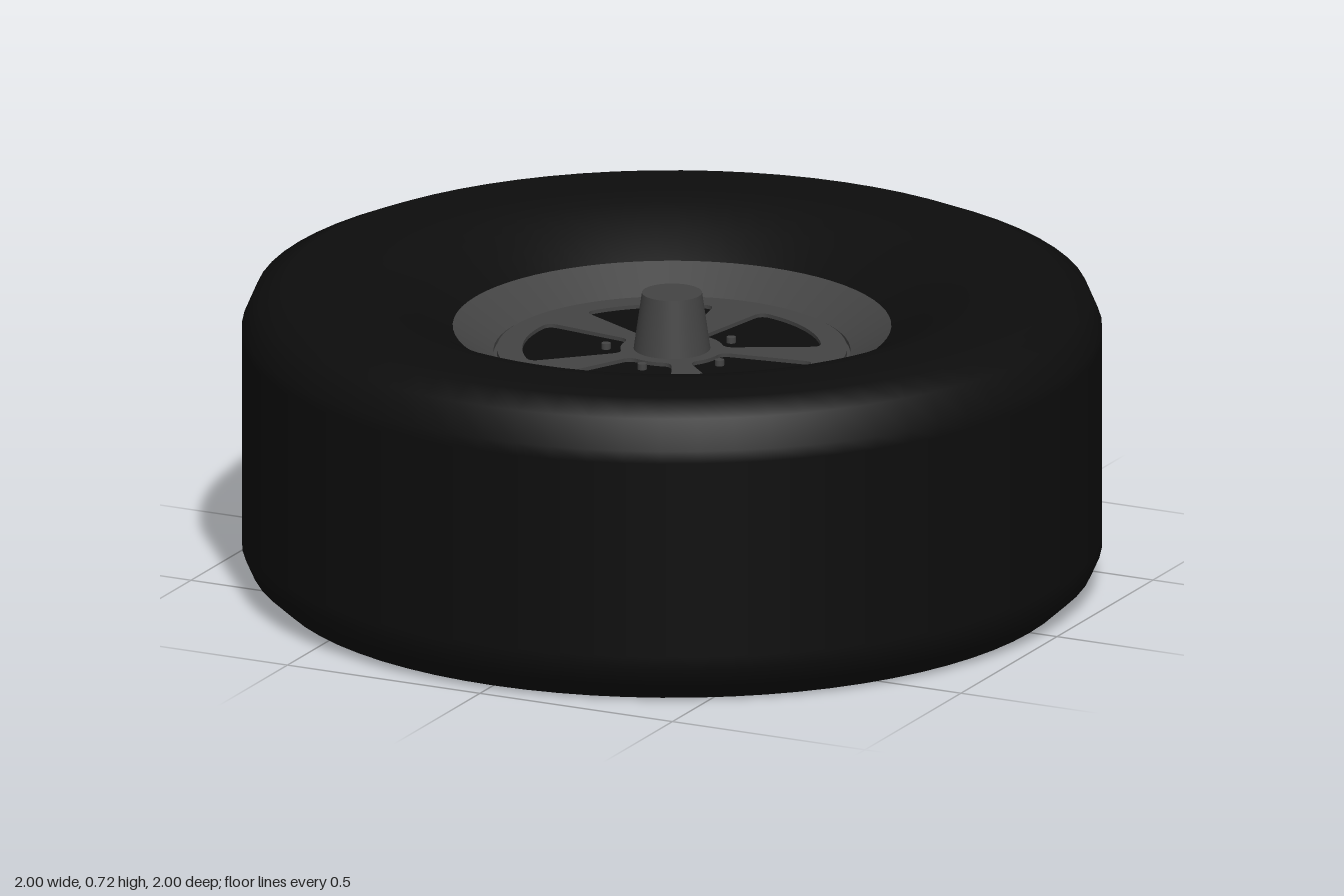
import * as THREE from 'three';

const tyreMat = new THREE.MeshStandardMaterial({ color: 0x0d0d0d });
tyreMat.name = 'black rubber';
const rimMat = new THREE.MeshStandardMaterial({ color: 0x444444 });
rimMat.name = 'grey metal';

const SEG = 72;

function add(group, name, geometry, material, y = 0) {
  const mesh = new THREE.Mesh(geometry, material);
  mesh.name = name;
  mesh.position.y = y;
  group.add(mesh);
  return mesh;
}

function lathe(points) {
  return new THREE.LatheGeometry(points.map(([r, y]) => new THREE.Vector2(r, y)), SEG);
}

// Rounded fan-shaped outline centred on the given angle
function fan(path, angle, inner, outer, half) {
  const at = (r, a) => [r * Math.cos(angle + a), r * Math.sin(angle + a)];
  const soft = 0.025;
  const si = soft / inner, so = soft / outer;
  path.moveTo(...at(inner + soft, -half));
  path.lineTo(...at(outer - soft, -half));
  path.quadraticCurveTo(...at(outer, -half), ...at(outer, -half + so));
  path.absarc(0, 0, outer, angle - half + so, angle + half - so, false);
  path.quadraticCurveTo(...at(outer, half), ...at(outer - soft, half));
  path.lineTo(...at(inner + soft, half));
  path.quadraticCurveTo(...at(inner, half), ...at(inner, half - si));
  path.absarc(0, 0, inner, angle + half - si, angle - half + si, true);
  path.quadraticCurveTo(...at(inner, -half), ...at(inner + soft, -half));
  return path;
}

export function createModel() {
  const wheel = new THREE.Group();
  wheel.name = 'wheel';

  // Tyre: tread, shoulders and both sidewalls
  add(wheel, 'tyre', lathe([
    [0.51, 0.11], [0.59, 0.05], [0.68, 0.008], [0.74, 0], [0.93, 0], [0.98, 0.045], [1, 0.09],
    [1, 0.12], [1, 0.59], [1, 0.62], [0.97, 0.69], [0.9, 0.72], [0.74, 0.72], [0.68, 0.71],
    [0.59, 0.67], [0.51, 0.62],
  ]), tyreMat);

  // Rim: flared lips and the barrel between them
  add(wheel, 'outerLip', lathe([[0.51, 0.62], [0.415, 0.56]]), rimMat);
  add(wheel, 'lipStep', lathe([[0.415, 0.56], [0.415, 0.54]]), rimMat);
  add(wheel, 'barrel', lathe([[0.415, 0.545], [0.415, 0.17]]), rimMat);
  add(wheel, 'innerLip', lathe([[0.415, 0.17], [0.51, 0.11]]), rimMat);

  // Five-spoke face over a closed backing disc
  const angles = [0, 1, 2, 3, 4].map((i) => -Math.PI / 2 + (i * Math.PI * 2) / 5);
  const half = THREE.MathUtils.degToRad(26);
  const face = new THREE.Shape().absarc(0, 0, 0.407, 0, Math.PI * 2, false);
  for (const a of angles) face.holes.push(fan(new THREE.Path(), a, 0.12, 0.348, half));
  const faceGeometry = new THREE.ExtrudeGeometry(face, { depth: 0.012, bevelEnabled: false, curveSegments: 48 });
  faceGeometry.rotateX(-Math.PI / 2);
  add(wheel, 'spokes', faceGeometry, rimMat, 0.553);
  add(wheel, 'backingDisc', new THREE.CylinderGeometry(0.415, 0.415, 0.008, SEG), rimMat, 0.546);

  // Dark openings between the spokes, each with a small bolt
  for (const a of angles) {
    const plate = new THREE.ShapeGeometry(fan(new THREE.Shape(), a, 0.12, 0.348, half), 24);
    plate.rotateX(-Math.PI / 2);
    add(wheel, 'opening', plate, tyreMat, 0.556);
    const bolt = add(wheel, 'bolt', new THREE.CylinderGeometry(0.011, 0.011, 0.016, 12), rimMat, 0.562);
    bolt.position.x = 0.155 * Math.cos(a);
    bolt.position.z = -0.155 * Math.sin(a);
  }

  // Tapered centre hub
  add(wheel, 'hub', new THREE.CylinderGeometry(0.07, 0.09, 0.14, 40), rimMat, 0.63);

  return wheel;
}
